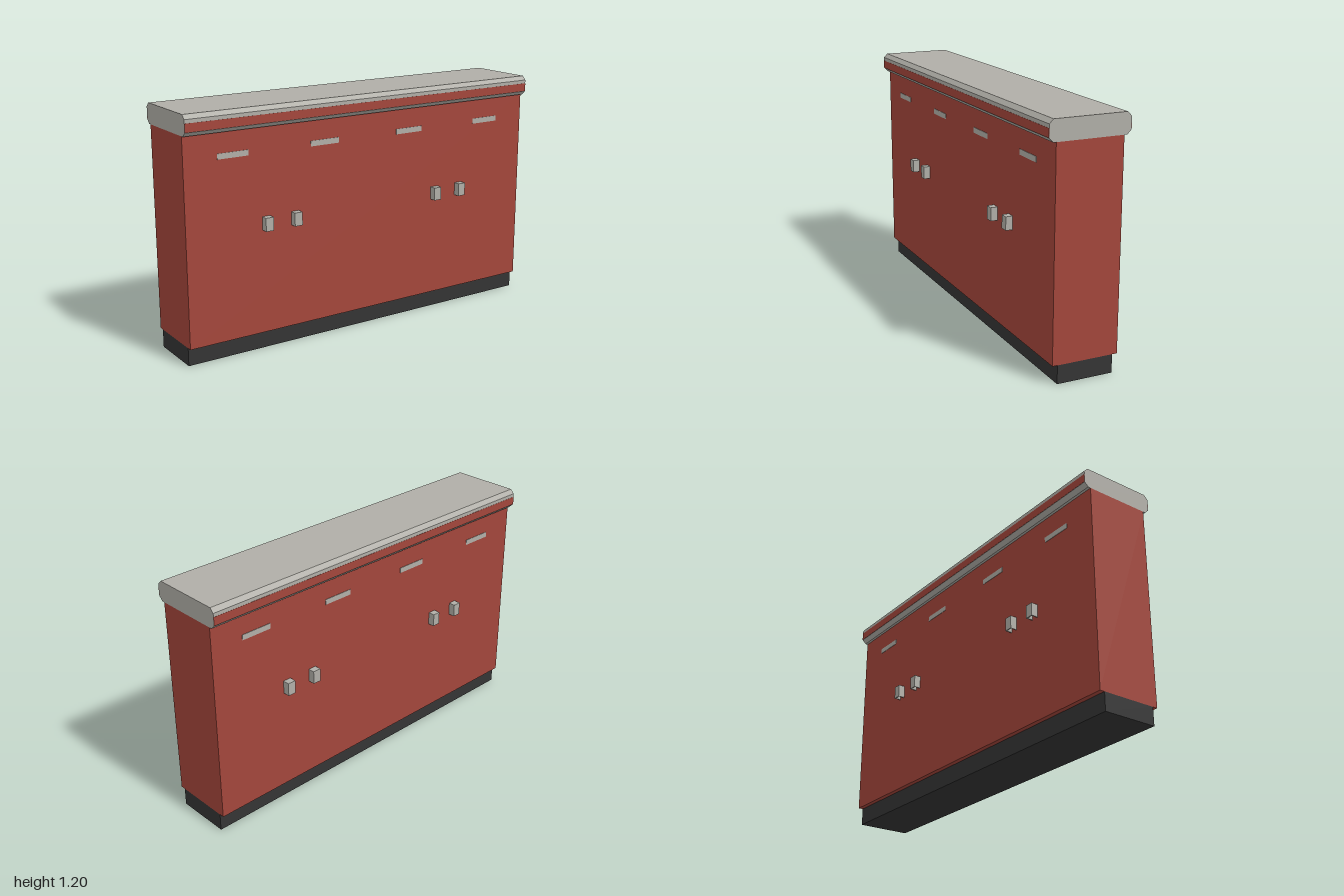
import * as THREE from 'three';

const mat = (name, color) => {
  const m = new THREE.MeshStandardMaterial({ color });
  m.name = name;
  return m;
};

export function createModel() {
  const red = mat('red paint', 0xa3463b);
  const grey = mat('warm grey', 0xb0aea7);
  const dark = mat('dark plinth', 0x343434);
  const model = new THREE.Group();
  model.name = 'counter';

  // Box given by its size and centre
  const box = (parent, name, material, w, h, d, x, y, z) => {
    const mesh = new THREE.Mesh(new THREE.BoxGeometry(w, h, d), material);
    mesh.position.set(x, y, z);
    mesh.name = name;
    parent.add(mesh);
  };

  // Plinth and cabinet body
  box(model, 'plinth', dark, 2, 0.09, 0.28, 0, 0.045, 0);
  box(model, 'body', red, 2, 1.01, 0.33, 0, 0.595, 0);

  // Worktop: chamfered profile in z/y, run along x
  const c = 0.02, w = 0.199, y0 = 1.1, y1 = 1.2;
  const profile = new THREE.Shape([
    [-w + c, y0], [w - c, y0], [w, y0 + c], [w, y1 - c],
    [w - c, y1], [-w + c, y1], [-w, y1 - c], [-w, y0 + c],
  ].map(([x, y]) => new THREE.Vector2(x, y)));
  const topGeo = new THREE.ExtrudeGeometry(profile, { depth: 2, bevelEnabled: false });
  topGeo.translate(0, 0, -1).rotateY(Math.PI / 2);
  const top = new THREE.Mesh(topGeo, grey);
  top.name = 'worktop';
  model.add(top);

  // Cupped pull, open underneath
  const addPull = (parent, x) => {
    const pull = new THREE.Group();
    pull.name = 'doorPull';
    pull.position.set(x, 0.637, 0.165);
    const t = 0.005;
    box(pull, 'pullFront', grey, 0.042, 0.066, t, 0, 0, 0.0325);
    box(pull, 'pullTop', grey, 0.042, t, 0.03, 0, 0.0305, 0.015);
    for (const s of [-1, 1]) box(pull, 'pullSide', grey, t, 0.061, 0.03, s * 0.0185, -0.0025, 0.015);
    parent.add(pull);
  };

  // Both long sides carry the same trim and handles
  for (const [name, angle] of [['frontFittings', 0], ['backFittings', Math.PI]]) {
    const side = new THREE.Group();
    side.name = name;
    side.rotation.y = angle;
    box(side, 'edgeStripe', red, 2, 0.041, 0.002, 0, 1.1415, 0.199);
    for (const x of [-0.75, -0.253, 0.25, 0.747]) box(side, 'drawerHandle', grey, 0.16, 0.027, 0.004, x, 0.987, 0.165);
    for (const x of [-0.583, -0.425, 0.418, 0.578]) addPull(side, x);
    model.add(side);
  }
  return model;
}
